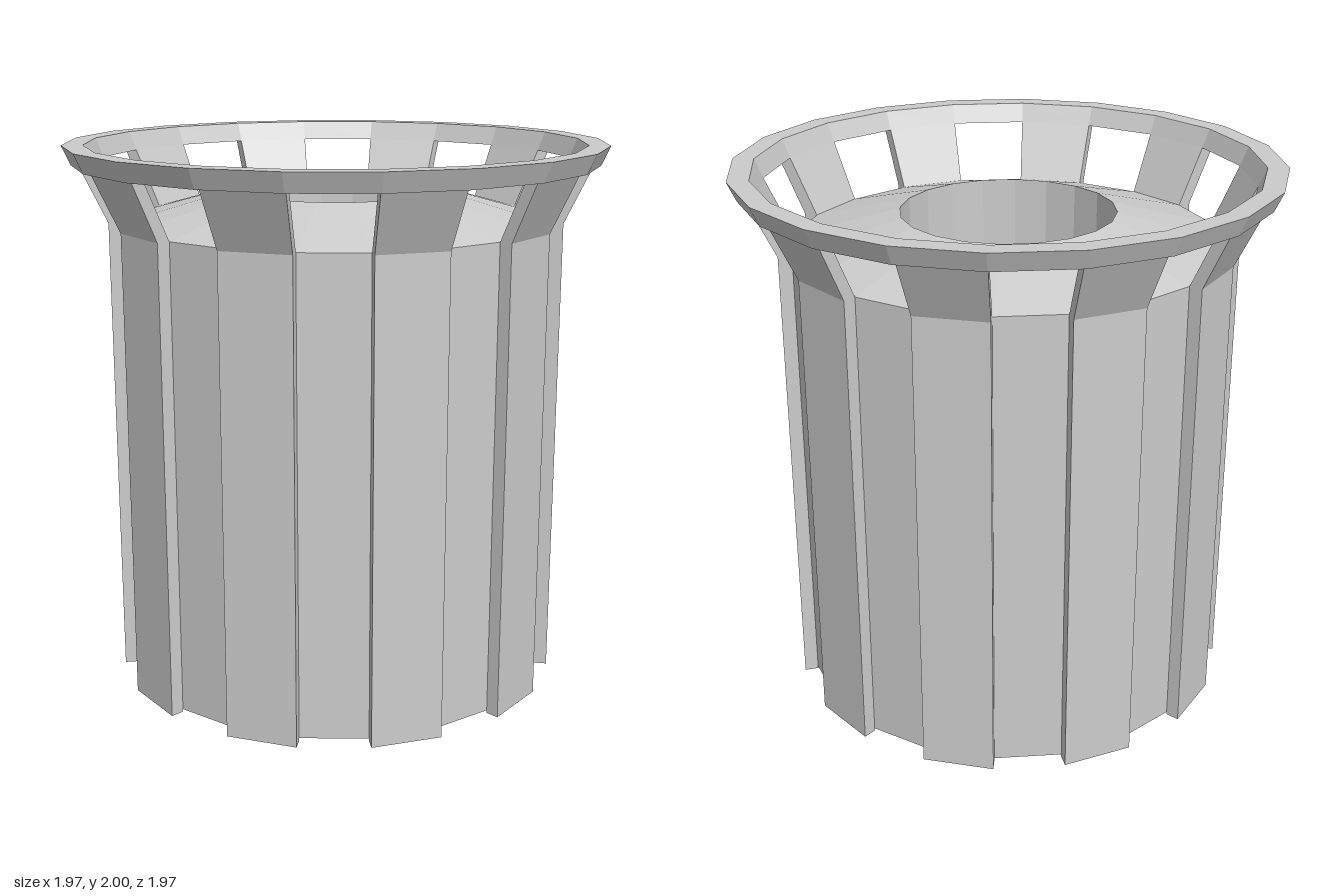
import * as THREE from 'three';
import { mergeGeometries } from 'three/addons/utils/BufferGeometryUtils.js';

const SIDES = 20;
const STEP = (Math.PI * 2) / SIDES;
const toPoints = (list) => list.map(([r, y]) => new THREE.Vector2(r, y));

// Closed radial profile swept over one side of the polygon, with both ends capped.
function wedge(profile) {
  const outline = toPoints(profile);
  const skin = new THREE.LatheGeometry([...outline, outline[0]], 1, 0, STEP);
  const cap = (angle, flip) => {
    const g = new THREE.ShapeGeometry(new THREE.Shape(outline));
    if (flip) g.index.array.reverse();
    return g.rotateY(angle - Math.PI / 2);
  };
  return mergeGeometries([skin, cap(0, false), cap(STEP, true)]);
}

export function createModel() {
  const model = new THREE.Group();
  model.name = 'litterBin';
  const material = new THREE.MeshStandardMaterial({ color: 0xcccccc, flatShading: true });

  const add = (name, geometry) => {
    const mesh = new THREE.Mesh(geometry, material);
    mesh.name = name;
    model.add(mesh);
    return mesh;
  };

  // Drum with sloping lid and deep central opening
  add('body', new THREE.LatheGeometry(toPoints([
    [0, 0.01], [0.78, 0.01], [0.78, 1.72], [0.39, 1.83], [0.39, 0.05], [0, 0.05],
  ]), SIDES));

  // Flared ring carried by the slats
  add('rim', new THREE.LatheGeometry(toPoints([
    [0.88, 1.93], [0.955, 1.93], [0.987, 2], [0.91, 2], [0.88, 1.93],
  ]), SIDES));

  // Bent slats on every second side, leaving windows between them
  const slat = wedge([
    [0.78, 0], [0.83, 0], [0.83, 1.72], [0.93, 1.93], [0.88, 1.93], [0.78, 1.72],
  ]);
  for (let i = 0; i < SIDES; i += 2) {
    add('slat' + (i / 2 + 1), slat).rotation.y = i * STEP;
  }

  return model;
}
